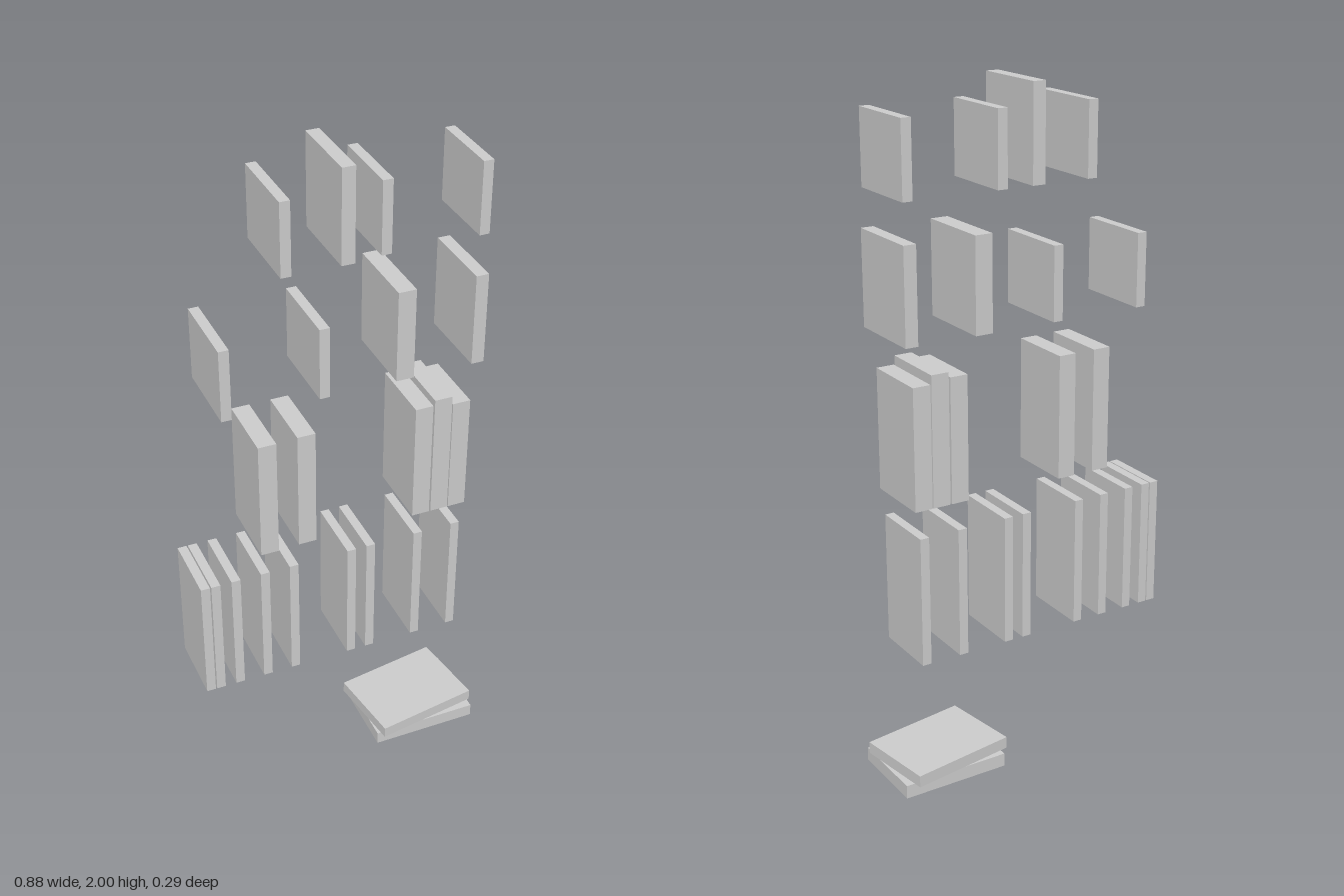
import * as THREE from 'three';

const material = new THREE.MeshStandardMaterial({ color: 0xcccccc, flatShading: true });

// Upright book given by its extents
function book(name, [x0, x1], [y0, y1], [z0, z1]) {
  const mesh = new THREE.Mesh(new THREE.BoxGeometry(x1 - x0, y1 - y0, z1 - z0), material);
  mesh.position.set((x0 + x1) / 2, (y0 + y1) / 2, (z0 + z1) / 2);
  mesh.name = name;
  return mesh;
}

// Each row: base height, back z, and books as [left x, thickness, top y, front z]
const rows = [
  { name: 'lowerRow', base: 0.405, back: -0.113,
    books: [-0.44, -0.409, -0.349, -0.261, -0.173, 0.006, 0.066, 0.216, 0.336]
      .map((x) => [x, 0.027, 0.792, 0.092]) },
  { name: 'secondRow', base: 0.87, back: -0.104,
    books: [[-0.261, 0.053, 1.236, 0.102], [-0.146, 0.053, 1.236, 0.098],
      [0.204, 0.053, 1.236, 0.102], [0.262, 0.053, 1.252, 0.102], [0.318, 0.053, 1.226, 0.102]] },
  { name: 'thirdRow', base: 1.347, back: -0.132,
    books: [[-0.359, 0.029, 1.56, 0.103], [-0.082, 0.029, 1.56, 0.103],
      [0.141, 0.052, 1.619, 0.103], [0.367, 0.037, 1.619, 0.103]] },
  { name: 'topRow', base: 1.73, back: -0.137,
    books: [[-0.184, 0.029, 1.94, 0.098], [-0.019, 0.038, 2, 0.098],
      [0.097, 0.029, 1.94, 0.087], [0.377, 0.029, 1.94, 0.087]] },
];

export function createModel() {
  const model = new THREE.Group();
  model.name = 'floatingBooks';

  // Rows of standing books
  for (const { name, base, back, books } of rows) {
    const row = new THREE.Group();
    row.name = name;
    books.forEach(([x, thick, top, front], i) =>
      row.add(book(`book${i + 1}`, [x, x + thick], [base, top], [back, front])));
    model.add(row);
  }

  // Two books lying flat, the upper one turned slightly
  const stack = new THREE.Group();
  stack.name = 'flatStack';
  stack.add(book('lowerFlatBook', [0.102, 0.43], [0, 0.041], [-0.123, 0.121]));
  const upper = book('upperFlatBook', [0.096, 0.421], [0.041, 0.077], [-0.125, 0.119]);
  upper.rotation.y = 0.155;
  stack.add(upper);
  model.add(stack);

  return model;
}
